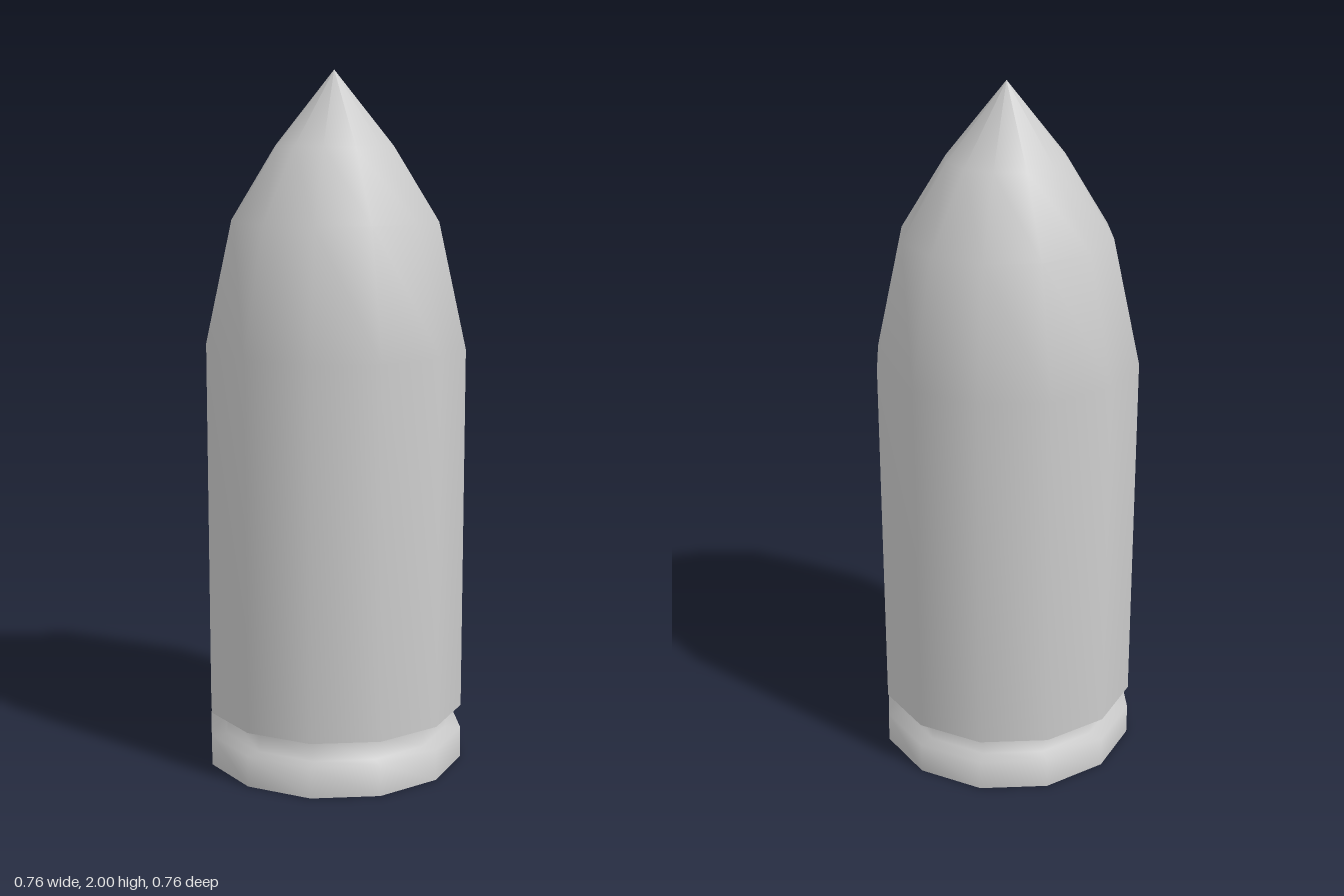
import * as THREE from 'three';

const SIDES = 12;
const R = 0.38;        // body and rim radius
const GROOVE_R = 0.333;

export function createModel() {
  const model = new THREE.Group();
  const material = new THREE.MeshStandardMaterial({ color: 0xcccccc });

  // Each profile runs from the bottom up, so the faces point outward
  const lathe = (name, profile) => {
    const points = profile.map(([r, y]) => new THREE.Vector2(r, y));
    const mesh = new THREE.Mesh(new THREE.LatheGeometry(points, SIDES), material);
    mesh.name = name;
    model.add(mesh);
  };

  // Flat base disc
  lathe('base', [[0, 0], [R, 0]]);

  // Rim, its top ledge and the groove above, shaded as one smooth band
  lathe('rimAndGroove', [[R, 0], [R, 0.09], [GROOVE_R, 0.09], [GROOVE_R, 0.16]]);

  // Underside of the body, overhanging the groove
  lathe('bodyUnderside', [[GROOVE_R, 0.16], [R, 0.16]]);

  // Straight body running smoothly into the pointed nose
  lathe('bodyAndNose', [[R, 0.16], [R, 1.22], [0.3, 1.58], [0.17, 1.79], [0, 2]]);

  return model;
}
